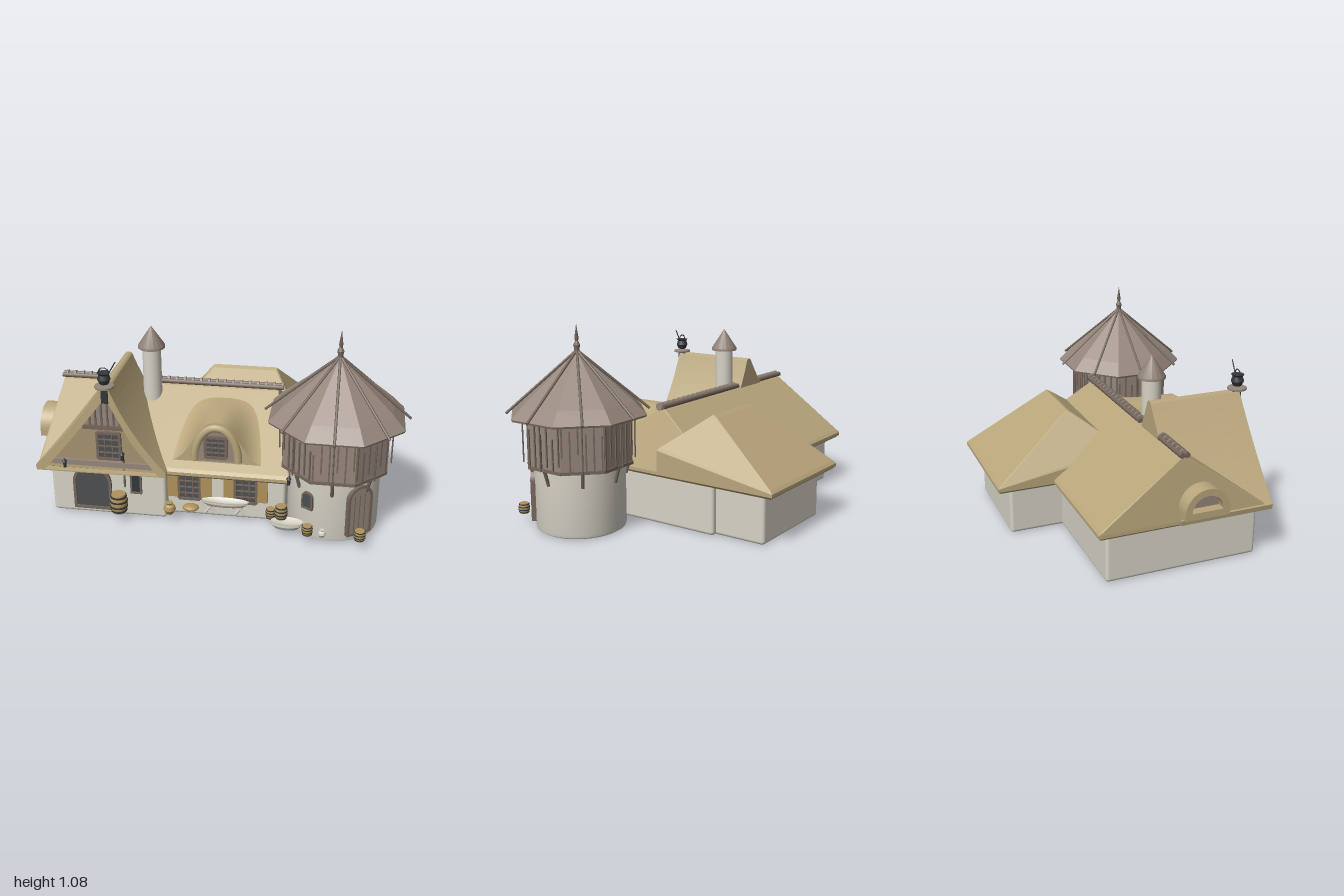
import * as THREE from 'three';
import { toCreasedNormals } from 'three/addons/utils/BufferGeometryUtils.js';
import { RoundedBoxGeometry } from 'three/addons/geometries/RoundedBoxGeometry.js';
import { ConvexGeometry } from 'three/addons/geometries/ConvexGeometry.js';

const mat = (name, color) => Object.assign(new THREE.MeshStandardMaterial({ color }), { name });
const V = (x, y, z) => new THREE.Vector3(x, y, z);
const P = (x, y) => new THREE.Vector2(x, y);

export function createModel() {
  const model = new THREE.Group();
  model.name = 'cottage';
  const plaster = mat('plaster', 0xd6d2c6), thatch = mat('thatch', 0xb9a67c), shingle = mat('shingle', 0x95867b),
    timber = mat('timber', 0x75675d), boards = mat('boards', 0xa5926f), oak = mat('oak', 0xb0935c),
    iron = mat('iron', 0x33373b), glass = mat('glass', 0x4d4f50);

  const add = (name, geo, m, x = 0, y = 0, z = 0, parent = model) => {
    const mesh = new THREE.Mesh(geo, m);
    mesh.name = name;
    mesh.position.set(x, y, z);
    parent.add(mesh);
    return mesh;
  };
  const group = (name, x, y, z, ry = 0) => {
    const g = new THREE.Group();
    g.name = name;
    g.position.set(x, y, z);
    g.rotation.y = ry;
    model.add(g);
    return g;
  };
  const box = (w, h, d) => new THREE.BoxGeometry(w, h, d);
  const flat = (g) => { const f = g.toNonIndexed(); f.computeVertexNormals(); return f; };
  const lathe = (pts, seg = 24) => toCreasedNormals(new THREE.LatheGeometry(pts.map((p) => P(...p)), seg), 0.6);
  const extrude = (shape, depth) => new THREE.ExtrudeGeometry(shape, { depth, bevelEnabled: false, curveSegments: 14 });
  const rod = (name, a, b, r, m, parent = model) => {
    const mesh = add(name, new THREE.CylinderGeometry(r, r, a.distanceTo(b), 8), m, 0, 0, 0, parent);
    mesh.position.copy(a).add(b).multiplyScalar(0.5);
    mesh.quaternion.setFromUnitVectors(V(0, 1, 0), b.clone().sub(a).normalize());
    return mesh;
  };
  // Round-headed outline standing on y = 0
  const arch = (w, h) => {
    const s = new THREE.Shape([P(-w / 2, 0), P(w / 2, 0), P(w / 2, h - w / 2)]);
    s.absarc(0, h - w / 2, w / 2, 0, Math.PI, false);
    s.closePath();
    return s;
  };
  const archRing = (w, h, t, depth) => {
    const s = arch(w, h);
    s.holes.push(new THREE.Path(arch(w - 2 * t, h - 2 * t).getPoints(14).map((p) => P(p.x, p.y + t))));
    return extrude(s, depth);
  };
  const windowUnit = (name, w, h, x, y, z) => {
    const g = group(name, x, y, z);
    add('pane', box(w, h, 0.008), glass, 0, 0, 0, g);
    for (let i = 0; i <= 3; i++) add('bar', box(i % 3 ? 0.006 : 0.014, h, 0.016), timber, (i / 3 - 0.5) * w, 0, 0.004, g);
    for (let i = 0; i <= 4; i++) add('crossbar', box(w, i % 4 ? 0.006 : 0.014, 0.016), timber, 0, (i / 4 - 0.5) * h, 0.004, g);
    return g;
  };
  const barrel = (x, y, z, r, h) => {
    const g = group('barrel', x, y, z);
    add('staves', lathe([[0, 0], [r * 0.8, 0], [r * 0.96, h * 0.28], [r, h / 2], [r * 0.96, h * 0.72], [r * 0.8, h], [0, h]], 14), oak, 0, 0, 0, g);
    for (const t of [0.12, 0.36, 0.64, 0.88]) {
      const rr = r * (t === 0.12 || t === 0.88 ? 0.92 : 1.03);
      add('hoop', new THREE.CylinderGeometry(rr, rr, h * 0.09, 14), iron, 0, h * t, 0, g);
    }
  };

  // Walls
  const wall = (name, x0, x1, z0, z1) => add(name, new RoundedBoxGeometry(x1 - x0, 0.3, z1 - z0, 3, 0.018), plaster, (x0 + x1) / 2, 0.15, (z0 + z1) / 2);
  wall('mainWall', -0.87, 0.385, -0.34, 0.41);
  wall('gableWall', -0.87, -0.245, -0.1, 0.47);
  wall('rearWall', -0.22, 0.355, -0.625, 0);

  // Thatched roofs: thick rounded eave and a ridge along x
  const hipRoof = (name, x0, x1, z0, z1, rx0, rx1, rz, ry, frontY = 0.305) => {
    const pts = [];
    for (const [x, s] of [[x0, 1], [x1, -1]]) for (const [z, t] of [[z0, 1], [z1, -1]]) {
      const y = t < 0 ? frontY : 0.305;
      pts.push(V(x + s * 0.015, 0.264, z + t * 0.015), V(x, 0.278, z), V(x, y - 0.01, z), V(x + s * 0.01, y + 0.005, z + t * 0.015));
    }
    for (const x of [rx0, rx1]) pts.push(V(x, ry - 0.012, rz - 0.022), V(x, ry, rz), V(x, ry - 0.012, rz + 0.022));
    add(name, new ConvexGeometry(pts), thatch);
  };
  hipRoof('mainRoof', -0.93, 0.41, -0.4, 0.485, -0.9, 0.3, 0.04, 0.615);
  hipRoof('rearRoof', -0.28, 0.41, -0.7, 0, -0.1, 0.26, -0.26, 0.608, 0.42);

  // Ridge roll
  for (const [a, b] of [[-0.91, -0.66], [-0.42, 0.32]]) {
    for (const dz of [-0.014, 0.014]) rod('ridgePole', V(a, 0.622, 0.04 + dz), V(b, 0.622, 0.04 + dz), 0.014, timber);
    for (let x = a + 0.02; x < b; x += 0.045) rod('ridgeTie', V(x, 0.624, 0.04), V(x + 0.01, 0.624, 0.04), 0.022, shingle);
  }

  // Front gable roof with flared slopes and an overhanging rim
  const outer = new THREE.Shape();
  outer.moveTo(-0.93, 0.268);
  outer.lineTo(-0.235, 0.275);
  outer.lineTo(-0.232, 0.3);
  outer.quadraticCurveTo(-0.42, 0.51, -0.515, 0.76);
  outer.quadraticCurveTo(-0.535, 0.78, -0.555, 0.76);
  outer.quadraticCurveTo(-0.735, 0.5, -0.935, 0.295);
  add('gableRoof', extrude(outer, 0.44), thatch, 0, 0, 0.02);
  const rim = outer.clone();
  rim.holes.push(new THREE.Path([P(-0.885, 0.275), P(-0.715, 0.48), P(-0.535, 0.71), P(-0.415, 0.47), P(-0.275, 0.28)]));
  add('gableRim', extrude(rim, 0.06), thatch, 0, 0, 0.46);

  // Gable boarding and timbers
  add('gableBoards', extrude(new THREE.Shape([P(-0.89, 0.285), P(-0.265, 0.285), P(-0.41, 0.48), P(-0.535, 0.72), P(-0.72, 0.48)]), 0.009), boards, 0, 0, 0.462);
  add('gablePeak', extrude(new THREE.Shape([P(-0.67, 0.53), P(-0.43, 0.53), P(-0.535, 0.72)]), 0.009), shingle, 0, 0, 0.468);
  for (let i = -3; i <= 3; i++) {
    const h = 0.17 - Math.abs(i) * 0.038;
    add('peakBatten', box(0.009, h, 0.012), timber, -0.54 + i * 0.032, 0.53 + h / 2, 0.48);
  }
  add('upperBeam', box(0.26, 0.022, 0.025), timber, -0.545, 0.525, 0.477);
  add('lowerBeam', box(0.6, 0.03, 0.025), shingle, -0.57, 0.31, 0.475);
  windowUnit('gableWindow', 0.12, 0.15, -0.54, 0.42, 0.478);
  add('gableDoor', extrude(arch(0.18, 0.245), 0.008), glass, -0.645, 0.04, 0.468);
  add('doorArch', archRing(0.21, 0.265, 0.015, 0.018), timber, -0.645, 0.03, 0.466);
  add('lancetGlass', extrude(arch(0.045, 0.13), 0.008), iron, -0.405, 0.15, 0.468);
  add('lancetFrame', archRing(0.062, 0.145, 0.01, 0.014), timber, -0.405, 0.142, 0.468);

  // Eyebrow dormer swelling out of the front slope
  const roofY = (z) => 0.61 - (z - 0.04) * 0.7;
  const swell = (u, z) => roofY(z) - 0.008 + Math.max(0, 0.575 - roofY(z)) * Math.exp(-Math.pow(Math.abs(u) / 0.15, 2.6));
  const brow = new THREE.PlaneGeometry(0.56, 0.4, 36, 18).rotateX(-Math.PI / 2).translate(0, 0, 0.23);
  const bp = brow.attributes.position;
  for (let i = 0; i < bp.count; i++) bp.setY(i, swell(bp.getX(i), bp.getZ(i)));
  brow.computeVertexNormals();
  add('dormerRoof', brow, thatch, 0.02);
  const face = [P(-0.28, 0.3)];
  for (let i = 0; i <= 36; i++) face.push(P(-0.28 + i * 0.56 / 36, swell(-0.28 + i * 0.56 / 36, 0.43)));
  add('dormerFace', new THREE.ShapeGeometry(new THREE.Shape([...face, P(0.28, 0.3)])), thatch, 0.02, 0, 0.43);
  add('dormerBoards', extrude(arch(0.2, 0.18), 0.008), shingle, 0.02, 0.35, 0.43);
  const lip = [];
  for (let i = 0; i <= 12; i++) lip.push(V(0.02 - 0.115 * Math.cos(i * Math.PI / 12), 0.35 + 0.19 * Math.sin(i * Math.PI / 12), 0.432));
  add('dormerLip', new THREE.TubeGeometry(new THREE.CatmullRomCurve3(lip), 30, 0.022, 8), thatch);
  windowUnit('dormerWindow', 0.11, 0.115, 0.02, 0.435, 0.442);

  // Arched hood on the left-hand end
  const hood = group('endHood', -0.85, 0.325, 0.125, -Math.PI / 2);
  add('hoodThatch', archRing(0.235, 0.15, 0.035, 0.15), thatch, 0, 0, 0, hood);
  add('hoodBoards', extrude(arch(0.18, 0.13), 0.1), shingle, 0, 0.01, 0, hood);

  // Ground-floor windows with shutters
  for (const x of [-0.128, 0.175]) {
    windowUnit('frontWindow', 0.115, 0.145, x, 0.175, 0.415);
    for (const s of [-1, 1]) add('shutter', box(0.055, 0.13, 0.014), oak, x + s * 0.09, 0.178, 0.42);
  }

  // Chimney
  add('chimney', new THREE.CylinderGeometry(0.05, 0.052, 0.5, 20), plaster, -0.385, 0.59, 0.1);
  add('chimneyCap', lathe([[0, 0.835], [0.073, 0.835], [0.073, 0.848], [0, 0.958]], 16), shingle, -0.385, 0, 0.1);

  // Tower
  const tx = 0.63, tz = 0.335;
  add('towerWall', lathe([[0, 0], [0.222, 0], [0.235, 0.008], [0.239, 0.025], [0.239, 0.37], [0, 0.37]], 40), plaster, tx, 0, tz);
  const drum = new THREE.CylinderGeometry(0.283, 0.283, 0.255, 8);
  add('towerDrum', flat(drum), shingle, tx, 0.485, tz).rotation.y = Math.PI / 8;
  add('drumSill', flat(new THREE.CylinderGeometry(0.291, 0.291, 0.016, 8)), timber, tx, 0.36, tz).rotation.y = Math.PI / 8;
  const k = 1 / Math.cos(Math.PI / 8);
  const cone = new THREE.LatheGeometry([[0, 0.612], [0.335 * k, 0.606], [0.34 * k, 0.617], [0.28 * k, 0.683], [0, 0.935]].map((p) => P(...p)), 8);
  add('towerRoof', flat(cone), shingle, tx, 0, tz).rotation.y = Math.PI / 8;
  add('finial', lathe([[0, 0.91], [0.02, 0.915], [0.013, 0.945], [0.018, 0.965], [0.008, 0.985], [0.011, 1.0], [0, 1.075]], 10), timber, tx, 0, tz);
  for (let i = 0; i < 8; i++) {
    const side = group('towerSide', tx, 0, tz, i * Math.PI / 4);
    rod('roofPole', V(0, 0.935, 0.005), V(0, 0.622, 0.37), 0.007, timber, side);
    rod('hangingPole', V(0, 0.36, 0.29), V(0, 0.61, 0.29), 0.004, timber, side);
    rod('brace', V(0, 0.36, 0.265), V(0, 0.275, 0.238), 0.009, timber, side);
    for (let j = 0; j < 6; j++) {
      const h = 0.15 + ((i * 5 + j * 3) % 7) * 0.015;
      add('batten', box(0.008, h, 0.012), timber, -0.1 + j * 0.04, (i + j) % 2 ? 0.605 - h / 2 : 0.365 + h / 2, 0.262, side);
    }
  }
  const door = group('towerDoor', tx, 0, tz, 0.62);
  add('doorLeaf', extrude(arch(0.12, 0.265), 0.025), shingle, 0, 0.05, 0.219, door);
  add('doorFrame', archRing(0.145, 0.28, 0.013, 0.04), timber, 0, 0.045, 0.213, door);
  for (let i = -1; i <= 1; i++) add('doorSeam', box(0.004, 0.21, 0.004), timber, i * 0.03, 0.165, 0.244, door);
  const slit = group('towerWindow', tx, 0, tz, -0.53);
  add('slitGlass', extrude(arch(0.05, 0.085), 0.008), glass, 0, 0.18, 0.236, slit);
  add('slitFrame', archRing(0.066, 0.1, 0.009, 0.018), timber, 0, 0.173, 0.232, slit);

  // Cauldron on its shelf at the gable peak
  add('shelfPost', box(0.035, 0.09, 0.05), iron, -0.535, 0.73, 0.505);
  add('shelf', lathe([[0, 0.768], [0.05, 0.77], [0.05, 0.78], [0, 0.785]], 14), shingle, -0.535, 0, 0.515);
  add('cauldron', lathe([[0, 0.785], [0.022, 0.79], [0.034, 0.815], [0.026, 0.84], [0.034, 0.85], [0.024, 0.845], [0, 0.842]], 16), iron, -0.535, 0, 0.515);
  add('cauldronHandle', new THREE.TorusGeometry(0.027, 0.003, 6, 16, Math.PI), iron, -0.535, 0.848, 0.515);
  rod('ladle', V(-0.51, 0.845, 0.515), V(-0.472, 0.91, 0.515), 0.003, iron);

  // Hanging lanterns
  for (const [x, y, z] of [[-0.78, 0.305, 0.505], [-0.465, 0.37, 0.505], [0.405, 0.29, 0.49]]) {
    add('lantern', new THREE.CylinderGeometry(0.01, 0.008, 0.035, 8), iron, x, y, z);
    add('lanternTop', new THREE.ConeGeometry(0.014, 0.02, 8), iron, x, y + 0.027, z);
  }
  rod('lanternPost', V(-0.465, 0.18, 0.48), V(-0.465, 0.35, 0.48), 0.006, timber);

  // Barrels
  for (const b of [[-0.49, 0.055, 0.525, 0.047, 0.108], [0.373, 0.09, 0.52, 0.033, 0.075], [0.315, 0.055, 0.47, 0.027, 0.058],
    [0.515, 0.055, 0.6, 0.028, 0.055], [0.78, 0.055, 0.61, 0.03, 0.056]]) barrel(...b);

  // Trough bench on crossed legs, low basin, pots and basket
  const trough = lathe([[0, 0.1], [0.1, 0.102], [0.125, 0.118], [0.128, 0.13], [0.118, 0.126], [0, 0.115]]);
  add('bench', trough.scale(1, 1, 0.26), plaster, 0.07, 0, 0.46);
  for (const x of [-0.01, 0.15]) for (const s of [-1, 1]) rod('benchLeg', V(x - s * 0.025, 0.05, 0.455), V(x + s * 0.02, 0.11, 0.455), 0.007, plaster);
  const basin = lathe([[0, 0.045], [0.06, 0.048], [0.085, 0.07], [0.085, 0.085], [0.072, 0.08], [0, 0.07]]);
  add('basin', basin.scale(1, 1, 0.5), plaster, 0.405, 0, 0.54);
  const pot = [[0, 0], [0.55, 0], [1, 0.8], [0.85, 1.4], [0.45, 1.7], [0.6, 2], [0, 2]];
  for (const [x, z, r, m] of [[-0.22, 0.505, 0.033, oak], [0.59, 0.61, 0.021, plaster]]) {
    add('pot', lathe(pot.map(([a, b]) => [a * r, b * r]), 16), m, x, 0.055, z);
  }
  add('basket', new THREE.SphereGeometry(1, 16, 8).scale(0.045, 0.018, 0.035), oak, -0.115, 0.073, 0.46);
  return model;
}
